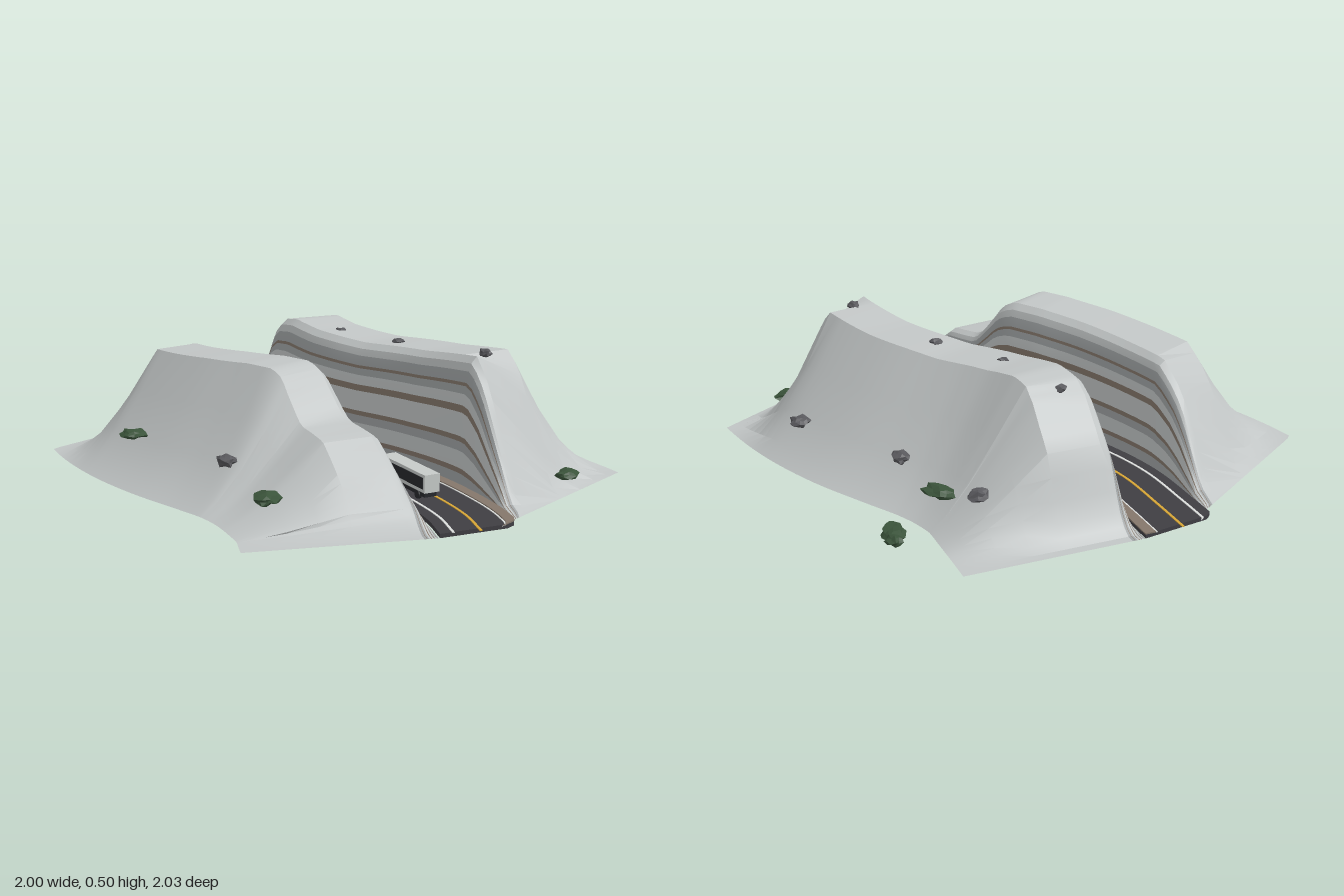
import * as THREE from 'three';
import { toCreasedNormals } from 'three/addons/utils/BufferGeometryUtils.js';

const mat = (name, color) => Object.assign(new THREE.MeshStandardMaterial({ color }), { name });

// Centre line of the road, seen from above (x, z)
const path = new THREE.CatmullRomCurve3([
  [-0.97, -0.3], [-0.82, -0.2], [-0.61, -0.07], [-0.39, 0.01], [-0.18, 0.05], [0.03, 0.065],
  [0.25, 0.085], [0.46, 0.135], [0.67, 0.22], [0.84, 0.31], [0.97, 0.41],
].map(([x, z]) => new THREE.Vector3(x, 0, z)));
const STATIONS = 64;

// Piecewise linear lookup in a list of [x, y] pairs
function lookup(table, x) {
  if (x <= table[0][0]) return table[0][1];
  for (let i = 1; i < table.length; i++) {
    const [x0, y0] = table[i - 1], [x1, y1] = table[i];
    if (x <= x1) return y0 + (y1 - y0) * (x - x0) / (x1 - x0);
  }
  return table[table.length - 1][1];
}

// Sweeps a closed section of [offset, height] along the road; side 1 is behind it, -1 in front.
// rowMats holds one material per section edge.
function sweep(name, section, rowMats, { side = 1, limit = 1, height = () => 1 } = {}) {
  const n = section.length, pos = [], index = [];
  for (let s = 0; s <= STATIONS; s++) {
    const c = path.getPointAt(s / STATIONS), t = path.getTangentAt(s / STATIONS);
    for (const [d, y] of section) {
      const x = THREE.MathUtils.clamp(c.x + t.z * d * side, -limit, limit);
      pos.push(x, y * height(c.x, x), c.z - t.x * d * side);
    }
  }
  const geo = new THREE.BufferGeometry();
  const materials = [...new Set(rowMats)];
  const tri = (a, b, c) => (side > 0 ? index.push(a, b, c) : index.push(a, c, b));
  for (let j = 0; j < n; j++) {
    const start = index.length, k = (j + 1) % n;
    for (let s = 0; s < STATIONS; s++) {
      const a = s * n, b = a + n;
      tri(a + j, b + j, b + k);
      tri(a + j, b + k, a + k);
    }
    geo.addGroup(start, index.length - start, materials.indexOf(rowMats[j]));
  }
  // End caps
  const start = index.length, e = STATIONS * n;
  for (let j = 1; j < n - 1; j++) {
    tri(0, j, j + 1);
    tri(e, e + j + 1, e + j);
  }
  geo.addGroup(start, index.length - start, 0);
  geo.setAttribute('position', new THREE.Float32BufferAttribute(pos, 3));
  geo.setIndex(index);
  const mesh = new THREE.Mesh(toCreasedNormals(geo, 0.35), materials);
  mesh.name = name;
  return mesh;
}

// Rough faceted lump, used for boulders and shrubs
function lump(name, material, [x, y, z], size, turn, seed) {
  const geo = new THREE.IcosahedronGeometry(1, 1), p = geo.attributes.position;
  const v = new THREE.Vector3();
  for (let i = 0; i < p.count; i++) {
    v.fromBufferAttribute(p, i);
    const k = 0.88 + 0.2 * Math.sin(seed * 3.1 + v.x * 5 + v.y * 7.3 + v.z * 4.1);
    p.setXYZ(i, v.x * k, v.y * k, v.z * k);
  }
  const mesh = new THREE.Mesh(toCreasedNormals(geo, 0.01), material);
  mesh.name = name;
  mesh.position.set(x, y, z);
  mesh.scale.set(...size);
  mesh.rotation.y = turn;
  return mesh;
}

export function createModel() {
  const group = new THREE.Group();
  const rock = mat('pale rock', 0xc2c6c6), greyLayer = mat('grey layer', 0x9fa3a4);
  const brownLayer = mat('brown layer', 0x84776b), asphalt = mat('asphalt', 0x3f3e43);
  const yellow = mat('yellow paint', 0xd6a536), white = mat('white paint', 0xdcdedc);
  const boulder = mat('boulder', 0x58585c), leaf = mat('leaf green', 0x3a533a);
  const body = mat('vehicle body', 0xc6cac8), dark = mat('dark trim', 0x26282b);

  // Layered cutting wall: offset, height fraction, material of the layer above
  const wall = [
    [0.147, 0, greyLayer], [0.152, 0.12, brownLayer], [0.153, 0.16, rock], [0.157, 0.29, greyLayer],
    [0.16, 0.36, brownLayer], [0.162, 0.4, rock], [0.169, 0.58, brownLayer], [0.172, 0.635, rock],
    [0.178, 0.72, greyLayer], [0.184, 0.78, brownLayer], [0.186, 0.805, greyLayer],
    [0.195, 0.89, rock], [0.205, 0.95, rock], [0.23, 1, rock],
  ];
  const hill = (slope) => [...wall, ...slope.map((p) => [...p, rock])];
  const addHill = (name, rows, options) => group.add(
    sweep(name, rows.map(([d, y]) => [d, y]), rows.map((r) => r[2]), { limit: 0.968, ...options }));

  // Hill behind the road; its right-hand end fades out with x
  const backTop = [[-0.93, 0], [-0.88, 0.08], [-0.8, 0.3], [-0.7, 0.42], [-0.62, 0.465], [-0.5, 0.48],
    [-0.3, 0.46], [0, 0.445], [0.3, 0.46], [0.55, 0.49]];
  const backEnd = [[0.63, 1], [0.7, 0.82], [0.8, 0.43], [0.9, 0.06], [0.965, 0]];
  addHill('backHill', hill([[0.43, 1], [0.55, 0.64], [0.66, 0.32], [0.75, 0.1], [0.812, 0]]),
    { height: (c, x) => lookup(backTop, c) * lookup(backEnd, x) });

  // Hill in front of the road, with a lower shoulder
  const frontTop = [[-0.6, 0.41], [-0.4, 0.425], [-0.2, 0.445], [0, 0.46], [0.14, 0.46], [0.21, 0.43],
    [0.32, 0.32], [0.37, 0.278], [0.57, 0.255], [0.65, 0.2], [0.78, 0.1], [0.9, 0.02], [0.94, 0]];
  const frontEnd = [[-0.965, 0], [-0.9, 0.1], [-0.78, 0.61], [-0.72, 0.81], [-0.63, 1]];
  addHill('frontHill', hill([[0.42, 1], [0.53, 0.66], [0.64, 0.33], [0.74, 0.1], [0.808, 0]]),
    { side: -1, height: (c, x) => lookup(frontTop, c) * lookup(frontEnd, x) });

  // Road, shoulder and painted lines
  const strip = (name, d0, d1, y0, y1, m) => group.add(
    sweep(name, [[d0, y0], [d0, y1], [d1, y1], [d1, y0]], [m, m, m, m]));
  strip('road', -0.142, 0.146, 0, 0.015, asphalt);
  strip('shoulder', 0.108, 0.148, 0.015, 0.02, brownLayer);
  strip('centreLine', -0.005, 0.005, 0.015, 0.0175, yellow);
  strip('frontEdgeLine', -0.1, -0.091, 0.015, 0.0175, white);
  strip('backEdgeLine', 0.1, 0.106, 0.015, 0.0175, white);

  // Long vehicle in the front lane
  const vehicle = new THREE.Group();
  vehicle.name = 'vehicle';
  const box = (name, w, h, d, x, y, z, m) => {
    const mesh = new THREE.Mesh(new THREE.BoxGeometry(w, h, d), m);
    mesh.name = name;
    mesh.position.set(x, y, z);
    vehicle.add(mesh);
  };
  box('vehicleBody', 0.31, 0.067, 0.063, 0, 0.082, 0, body);
  box('chassis', 0.29, 0.02, 0.05, 0, 0.04, 0, dark);
  for (const side of [-1, 1]) {
    box('sideWindows', 0.29, 0.042, 0.003, 0, 0.083, side * 0.032, dark);
    for (const x of [-0.1, 0.1]) {
      const wheel = new THREE.Mesh(new THREE.CylinderGeometry(0.016, 0.016, 0.012, 12), dark);
      wheel.name = 'wheel';
      wheel.rotation.x = Math.PI / 2;
      wheel.position.set(x, 0.031, side * 0.024);
      vehicle.add(wheel);
    }
  }
  vehicle.position.set(0.516, 0, 0.202);
  vehicle.rotation.y = -0.387;
  group.add(vehicle);

  // Boulders
  [[0.1, 0.165, 0.73], [-0.4, 0.155, -0.72], [0.01, 0.15, -0.62], [0.52, 0.155, -0.585],
    [-0.5, 0.44, -0.355], [-0.2, 0.45, -0.265], [0.125, 0.448, -0.235], [0.6, 0.485, -0.145],
  ].forEach((p, i) => {
    const r = i < 4 ? 0.042 : 0.03;
    group.add(lump('boulder', boulder, p, [r, r * 0.62, r * 0.85], i * 1.3, i));
  });

  // Shrubs: position, half length, half width, turn
  [[-0.43, 0.165, 0.69, 0.058, 0.047, 0.3], [0.35, 0.095, 0.79, 0.075, 0.052, -0.8],
    [0.92, 0.055, -0.23, 0.06, 0.042, 1.5], [-0.23, 0.115, -0.71, 0.075, 0.044, -0.1],
    [-0.17, 0.025, -0.895, 0.07, 0.048, -0.9], [-0.215, 0.025, -0.945, 0.035, 0.03, 0.2],
  ].forEach(([x, y, z, a, b, turn], i) => {
    group.add(lump('shrub', leaf, [x, y, z], [a, 0.021, b], turn, i + 11));
  });
  return group;
}
